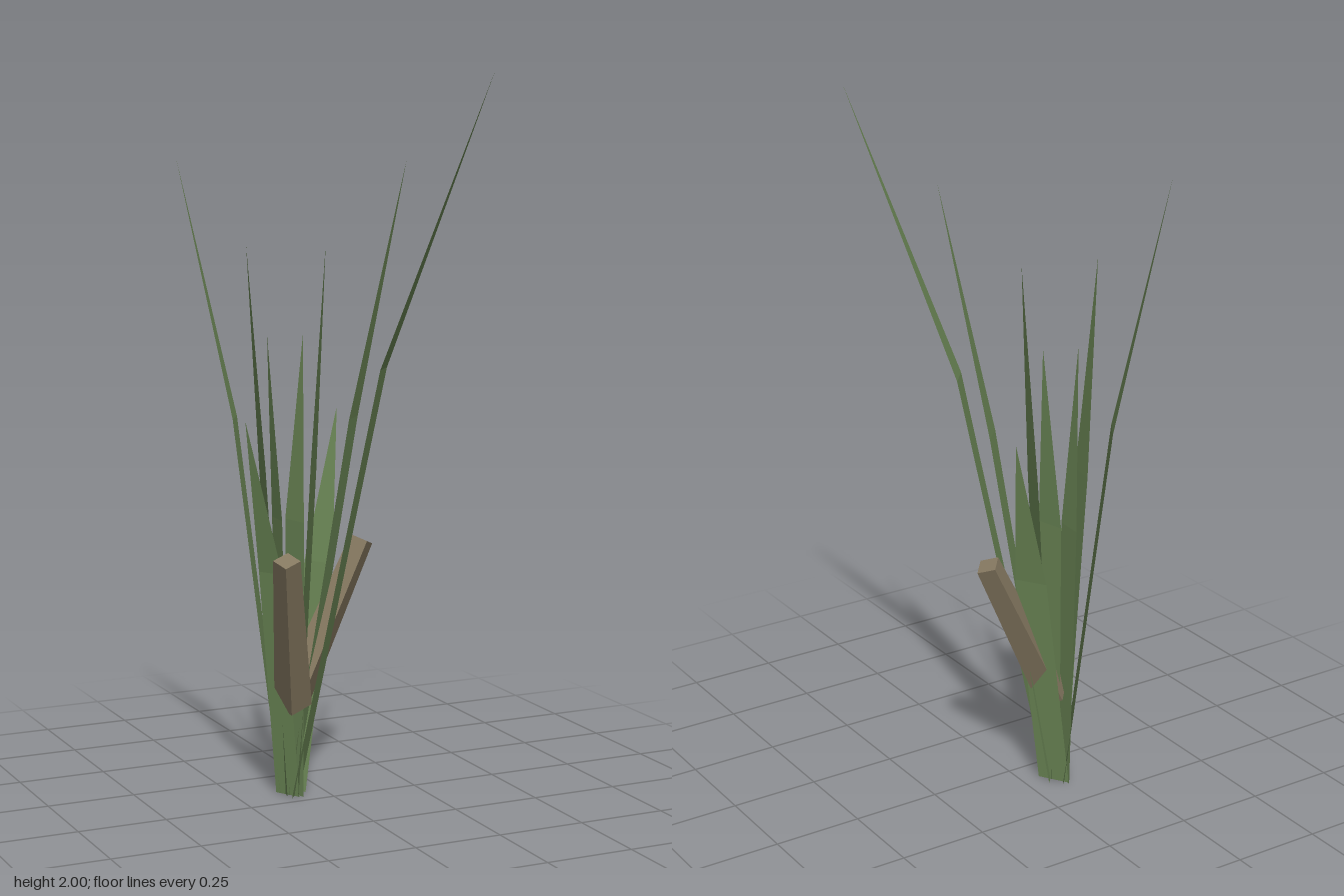
import * as THREE from 'three';

const leafMat = new THREE.MeshStandardMaterial({ color: 0x6e8a58, flatShading: true, side: THREE.DoubleSide });
const barkMat = new THREE.MeshStandardMaterial({ color: 0x857860, flatShading: true });

// Flat blade: base pair, middle pair at 60% height, pointed tip.
// base, a, b are [x, z]; tip is [x, y, z]
function blade(name, base, a, b, tip) {
  const midY = tip[1] * 0.6;
  const hx = (a[0] - b[0]) / 2, hz = (a[1] - b[1]) / 2;
  const points = [
    base[0] + hx, 0, base[1] + hz,
    base[0] - hx, 0, base[1] - hz,
    a[0], midY, a[1],
    b[0], midY, b[1],
    ...tip,
  ];
  const geo = new THREE.BufferGeometry();
  geo.setAttribute('position', new THREE.Float32BufferAttribute(points, 3));
  geo.setIndex([0, 1, 3, 0, 3, 2, 2, 3, 4]);
  const flat = geo.toNonIndexed();
  flat.computeVertexNormals();
  const mesh = new THREE.Mesh(flat, leafMat);
  mesh.name = name;
  return mesh;
}

// Four-sided tapered stalk, with its corners lined up with the lean
function stalk(name, from, to) {
  const start = new THREE.Vector3(...from);
  const dir = new THREE.Vector3(...to).sub(start);
  const length = dir.length();
  const geo = new THREE.CylinderGeometry(0.037, 0.052, length, 4);
  geo.translate(0, length / 2, 0);
  geo.rotateZ(-Math.acos(dir.y / length));
  geo.rotateY(Math.atan2(-dir.z, dir.x));
  const mesh = new THREE.Mesh(geo, barkMat);
  mesh.position.copy(start);
  mesh.name = name;
  return mesh;
}

export function createModel() {
  const plant = new THREE.Group();
  plant.name = 'plant';

  // Blades: base centre, two middle edges, tip
  const blades = [
    [[-0.09, -0.06], [0.09, 0.10], [0.14, 0.04], [0.36, 2.0, 0.235]],
    [[-0.085, -0.09], [0.045, 0.0], [0.10, -0.06], [0.205, 1.76, 0.025]],
    [[-0.105, -0.12], [-0.24, -0.14], [-0.20, -0.205], [-0.36, 1.76, -0.235]],
    [[-0.11, -0.07], [-0.155, 0.0], [-0.195, -0.068], [-0.26, 1.07, -0.005]],
    [[-0.08, -0.11], [0.035, -0.085], [-0.015, -0.163], [0.083, 1.07, -0.16]],
    [[-0.11, -0.095], [-0.175, -0.065], [-0.16, -0.145], [-0.21, 1.53, -0.11]],
    [[-0.085, -0.07], [-0.035, -0.04], [-0.015, -0.12], [0.01, 1.53, -0.075]],
    [[-0.09, -0.07], [-0.075, -0.035], [-0.095, -0.115], [-0.057, 1.29, -0.078]],
    [[-0.105, -0.115], [-0.12, -0.08], [-0.115, -0.16], [-0.15, 1.29, -0.11]],
  ];
  blades.forEach((b, i) => plant.add(blade(`blade${i + 1}`, ...b)));

  // Woody stalks
  plant.add(stalk('leftStalk', [-0.09, 0.26, -0.085], [0.123, 0.705, -0.083]));
  plant.add(stalk('rightStalk', [-0.095, 0.26, -0.065], [-0.193, 0.705, 0.115]));
  return plant;
}
